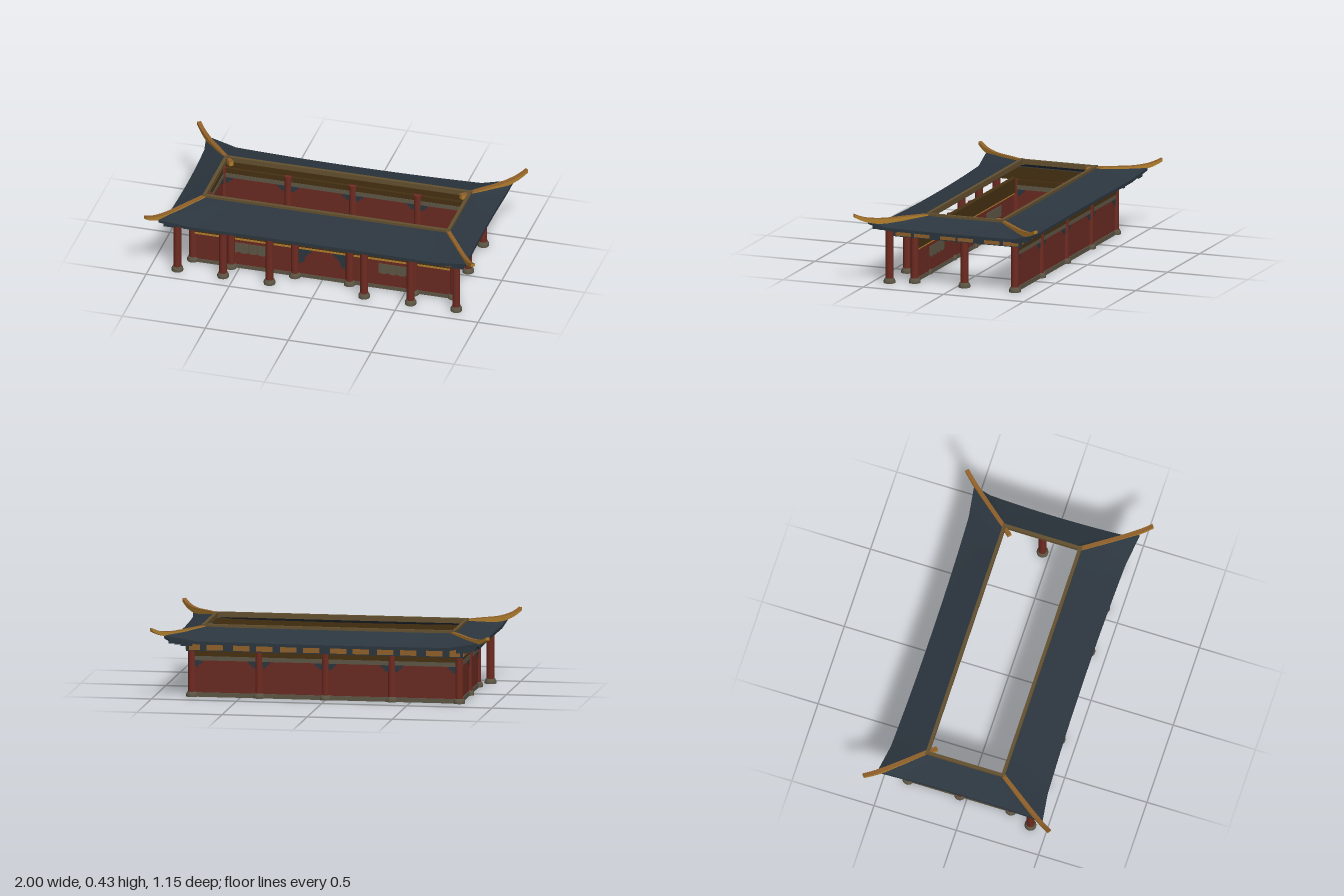
import * as THREE from 'three';
import { toCreasedNormals } from 'three/addons/utils/BufferGeometryUtils.js';

const mat = (name, color, side = THREE.FrontSide) => {
  const m = new THREE.MeshStandardMaterial({ color, side });
  m.name = name;
  return m;
};

export function createModel() {
  const root = new THREE.Group();
  root.name = 'courtyardPavilion';
  const M = {
    roof: mat('slateBlue', 0x2c363f, THREE.DoubleSide),
    red: mat('columnRed', 0x6e2b21),
    wall: mat('wallRed', 0x692b22),
    stone: mat('stone', 0x5d5645),
    gold: mat('gold', 0xb07d2c),
    orange: mat('panelOrange', 0x8f5f2a),
    brown: mat('darkBrown', 0x463112),
    frame: mat('ridgeBrown', 0x63502f),
  };
  const add = (name, geo, m, x = 0, y = 0, z = 0, ry = 0) => {
    const mesh = new THREE.Mesh(geo, m);
    mesh.name = name;
    mesh.position.set(x, y, z);
    mesh.rotation.y = ry;
    root.add(mesh);
    return mesh;
  };
  // box given by its bounds
  const span = (name, m, x0, x1, y0, y1, z0, z1) =>
    add(name, new THREE.BoxGeometry(x1 - x0, y1 - y0, z1 - z0), m, (x0 + x1) / 2, (y0 + y1) / 2, (z0 + z1) / 2);
  // skin between equal closed cross-sections
  const loft = (sections) => {
    const n = sections[0].length, pos = [], idx = [];
    sections.forEach((s) => s.forEach((p) => pos.push(p.x, p.y, p.z)));
    for (let i = 0; i < sections.length - 1; i++)
      for (let j = 0; j < n; j++) {
        const a = i * n + j, b = i * n + ((j + 1) % n);
        idx.push(a, b, a + n, b, b + n, a + n);
      }
    const g = new THREE.BufferGeometry();
    g.setAttribute('position', new THREE.Float32BufferAttribute(pos, 3));
    g.setIndex(idx);
    return toCreasedNormals(g, 0.5);
  };
  const V = (x, y, z) => new THREE.Vector3(x, y, z);
  const mix = THREE.MathUtils.lerp;

  // four bowed roof slopes around the open court, flicked up near the corners
  const outer = [[-0.925, 0.5], [0.925, 0.5], [0.925, -0.505], [-0.925, -0.505]];
  const inner = [[-0.735, 0.2], [0.735, 0.2], [0.735, -0.26], [-0.735, -0.26]];
  const inward = [[0, -1, 0.042], [-1, 0, 0.025], [0, 1, 0.038], [1, 0, 0.025]];
  for (let s = 0; s < 4; s++) {
    const e = (s + 1) % 4, [dx, dz, bow] = inward[s], sections = [];
    for (let i = 0; i <= 20; i++) {
      const t = i / 20, k = Math.abs(2 * t - 1), flick = Math.max(0, (k - 0.8) / 0.2);
      const b = bow * (1 - 0.35 * Math.min(k / 0.8, 1) ** 2 - 0.65 * flick);
      const lift = 0.008 * k * k + 0.032 * flick;
      const o = V(mix(outer[s][0], outer[e][0], t) + dx * b, 0.337 + lift, mix(outer[s][1], outer[e][1], t) + dz * b);
      const n = V(mix(inner[s][0], inner[e][0], t), 0.397, mix(inner[s][1], inner[e][1], t));
      const c = o.clone().lerp(n, 0.5);
      c.y -= 0.003;
      const low = [c, o].map((p) => V(p.x, p.y - 0.018, p.z));
      sections.push([n, c, o, low[1], low[0], V(n.x, n.y - 0.017, n.z)]);
    }
    add('roofSlope', loft(sections), M.roof);
  }

  // ridge frame around the opening
  for (const z of [0.2, -0.26]) span('ridgeBeam', M.frame, -0.745, 0.745, 0.38, 0.41, z - 0.01, z + 0.01);
  for (const x of [-0.735, 0.735]) span('ridgeBeam', M.frame, x - 0.01, x + 0.01, 0.38, 0.408, -0.26, 0.2);

  // upswept hip ridges, gold with a thin brown top
  const hipLine = new THREE.SplineCurve([[0, 0.404], [0.3, 0.398], [0.6, 0.391], [0.8, 0.397], [0.92, 0.41], [1, 0.425]]
    .map((p) => new THREE.Vector2(...p)));
  const hipGeo = (start, end, rise, depth) => {
    const dir = V(end[0] - start[0], 0, end[1] - start[1]).normalize();
    const side = V(-dir.z, 0, dir.x).multiplyScalar(0.012);
    const sections = [];
    for (let i = 0; i <= 16; i++) {
      const p = hipLine.getPoint(i / 16), t = p.x;
      const h = depth * (t < 0.7 ? 1 : mix(1, 0.6, (t - 0.7) / 0.3));
      const c = V(mix(start[0], end[0], t), p.y + rise, mix(start[1], end[1], t));
      const a = c.clone().add(side), b = c.clone().sub(side);
      sections.push([b, a, V(a.x, a.y - h, a.z), V(b.x, b.y - h, b.z)]);
    }
    const cap = (s) => s.map(() => s[0].clone().add(s[2]).multiplyScalar(0.5));
    return loft([cap(sections[0]), ...sections, cap(sections[16])]);
  };
  for (const sx of [-1, 1])
    for (const front of [true, false]) {
      const start = front ? [sx * 0.73, 0.195] : [sx * 0.69, -0.215];
      const end = front ? [sx * 0.988, 0.562] : [sx * 0.988, -0.57];
      add('hipRidge', hipGeo(start, end, 0, 0.029), M.gold);
      add('hipRidgeTop', hipGeo(start, end, 0.0015, 0.003), M.orange);
      // stepped brackets beneath each roof corner
      [[0.81, 0.385, 0.318], [0.84, 0.42, 0.332], [0.87, 0.45, 0.342]].forEach(([x, z, y]) =>
        add('cornerBracket', new THREE.BoxGeometry(0.065, 0.03, 0.06), M.roof, sx * x, y, front ? z : -z - 0.005));
    }

  // columns on flared stone bases
  const baseGeo = new THREE.LatheGeometry([[0, 0], [0.034, 0], [0.034, 0.014], [0.027, 0.029], [0, 0.031]]
    .map((p) => new THREE.Vector2(...p)), 18);
  const baseShape = toCreasedNormals(baseGeo, 0.5);
  const column = (x, z, top, r = 0.023) => {
    add('columnBase', baseShape, M.stone, x, 0, z);
    add('column', new THREE.CylinderGeometry(r, r, top - 0.025, 16), M.red, x, (top + 0.025) / 2, z);
  };
  for (const s of [-1, 1]) {
    for (const x of [0.84, 0.565, 0.285]) column(s * x, 0.4, 0.338);
    column(s * 0.785, 0.265, 0.275);
    for (const x of [0.55, 0.165]) column(s * x, 0.285, 0.275);
    column(s * 0.785, -0.045, 0.275);
    for (const x of [0.785, 0.39]) column(s * x, -0.36, 0.275);
  }
  column(0, -0.36, 0.275);

  // frieze boards with raised panels
  span('friezeBoard', M.roof, -0.81, 0.81, 0.272, 0.345, 0.37, 0.385);
  span('friezeBoard', M.roof, -0.81, 0.81, 0.272, 0.345, -0.39, -0.375);
  span('friezeLining', M.brown, -0.8, 0.8, 0.268, 0.345, 0.361, 0.37);
  span('friezeLining', M.brown, -0.8, 0.8, 0.24, 0.345, -0.375, -0.367);
  for (const s of [-1, 1]) {
    add('friezeBoard', new THREE.BoxGeometry(0.014, 0.073, 0.795), M.roof, s * 0.805, 0.3085, -0.0125);
    add('friezeLining', new THREE.BoxGeometry(0.008, 0.077, 0.73), M.brown, s * 0.794, 0.3065, -0.003);
    for (const z of [0.325, 0.21, 0.048, -0.063, -0.228, -0.345])
      add('friezePanel', new THREE.BoxGeometry(0.006, 0.039, 0.094), M.orange, s * 0.814, 0.297, z);
    for (const x of [0.77, 0.645, 0.49, 0.355, 0.213, 0.08])
      for (const z of [0.387, -0.392])
        add('friezePanel', new THREE.BoxGeometry(x > 0.7 ? 0.075 : 0.096, 0.039, 0.006), M.orange, s * x, 0.297, z);
  }

  // back wall and the closed right end, with sill and head beams
  const layers = [['sill', M.stone, 0, 0.026, 0.013], ['wall', M.wall, 0.026, 0.214, 0.007],
    ['headBeam', M.stone, 0.214, 0.24, 0.012], ['topBeam', M.brown, 0.24, 0.272, 0.009]];
  for (const [name, m, y0, y1, d] of layers) {
    span(name, m, -0.785, 0.785, y0, y1, -0.36 - d, -0.36 + d);
    span(name, m, -0.785 - d, -0.785 + d, y0, y1, -0.36, 0.265);
  }

  // stepped brackets where columns meet the head beam
  const bracketShape = new THREE.Shape();
  bracketShape.moveTo(0, 0.214).lineTo(0.065, 0.214).lineTo(0.06, 0.198).lineTo(0.043, 0.192)
    .lineTo(0.038, 0.178).lineTo(0, 0.172);
  const bracketGeo = new THREE.ExtrudeGeometry(bracketShape, { depth: 0.022, bevelEnabled: false });
  bracketGeo.translate(0, 0, -0.011);
  const bracket = (x, z, ry) => add('columnBracket', bracketGeo, M.roof, x, 0, z, ry);
  for (const x of [-0.785, -0.39, 0, 0.39, 0.785]) {
    if (x < 0.7) bracket(x, -0.36, 0);
    if (x > -0.7) bracket(x, -0.36, Math.PI);
  }
  for (const z of [-0.36, -0.045]) bracket(-0.785, z, -Math.PI / 2);
  for (const z of [-0.045, 0.265]) bracket(-0.785, z, Math.PI / 2);

  // front wall with layered beams and a deep brown inner lining
  const frontLayers = [['frontSill', M.stone, 0, 0.022, 0.012], ['frontWall', M.wall, 0.022, 0.187, 0.007],
    ['frontTrim', M.gold, 0.187, 0.198, 0.012], ['frontBeam', M.brown, 0.198, 0.213, 0.009],
    ['frontHeadBeam', M.stone, 0.213, 0.232, 0.013], ['frontTopBeam', M.brown, 0.232, 0.285, 0.01]];
  for (const [name, m, y0, y1, d] of frontLayers) span(name, m, -0.785, 0.785, y0, y1, 0.27 - d, 0.27 + d);
  span('frontLining', M.brown, -0.76, 0.76, 0.2, 0.285, 0.25, 0.262);

  // scalloped windows and door spandrels, on both wall faces
  const tile = new THREE.Shape();
  tile.moveTo(-0.027, 0.165).lineTo(-0.027, 0.112).quadraticCurveTo(-0.022, 0.1, 0, 0.1)
    .quadraticCurveTo(0.022, 0.1, 0.027, 0.112).lineTo(0.027, 0.165);
  const spandrel = new THREE.Shape();
  spandrel.moveTo(0.145, 0.187).lineTo(0.06, 0.187).lineTo(0.07, 0.17).lineTo(0.09, 0.155)
    .lineTo(0.105, 0.135).lineTo(0.112, 0.105).lineTo(0.145, 0.09);
  const plate = (shape) => new THREE.ExtrudeGeometry(shape, { depth: 0.006, bevelEnabled: false, curveSegments: 5 });
  const tileGeo = plate(tile), spandrelGeo = plate(spandrel);
  const spandrelMirror = plate(new THREE.Shape(spandrel.getPoints().map((p) => new THREE.Vector2(-p.x, p.y))));
  for (const z of [0.276, 0.258]) {
    for (const s of [-1, 1])
      for (let i = 0; i < 4; i++) add('windowTile', tileGeo, M.stone, s * (0.365 + i * 0.055), 0, z);
    add('doorSpandrel', spandrelGeo, M.roof, 0, 0, z);
    add('doorSpandrel', spandrelMirror, M.roof, 0, 0, z);
  }
  return root;
}
